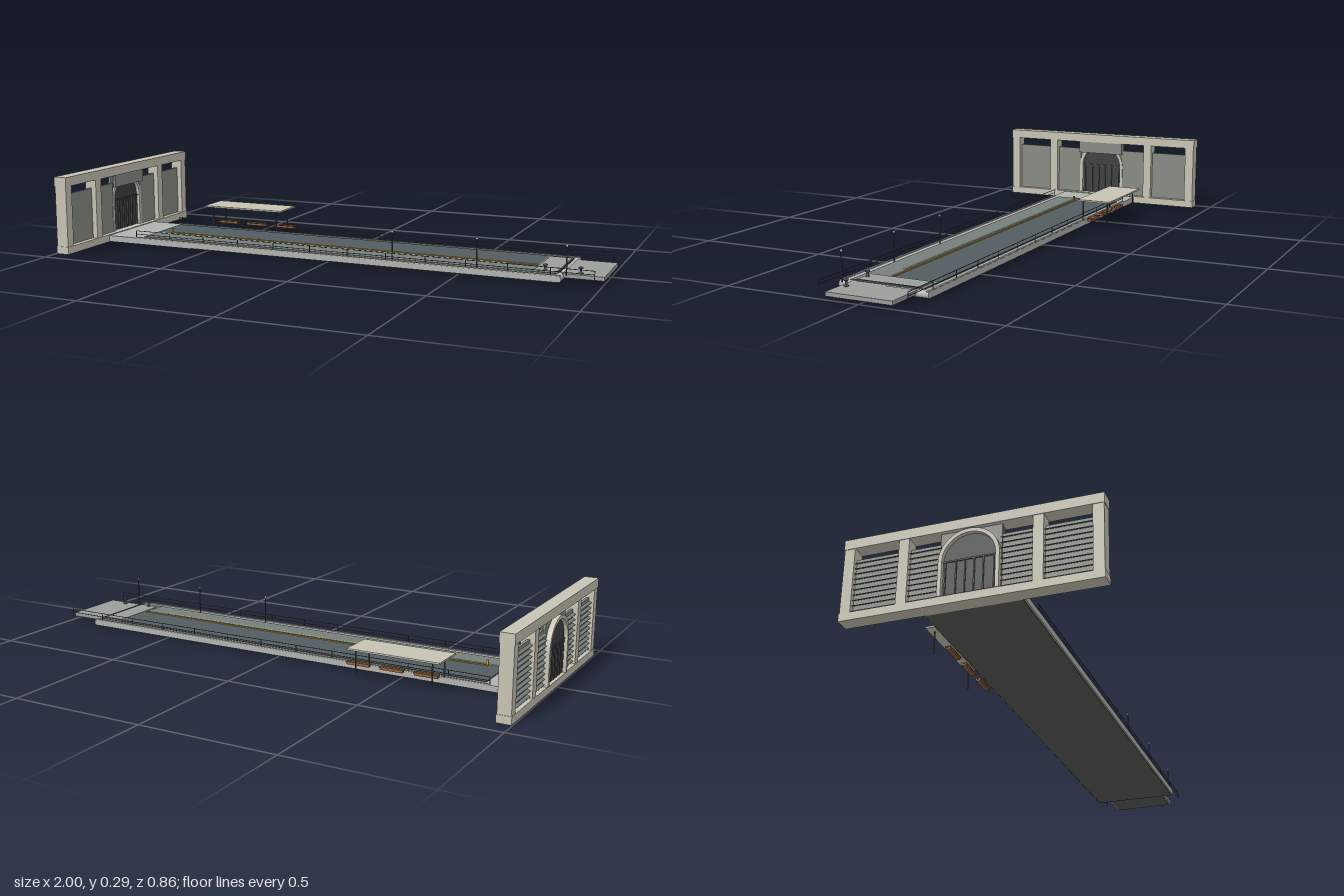
import * as THREE from 'three';

export function createModel() {
  const root = new THREE.Group();
  const mat = (color) => new THREE.MeshStandardMaterial({ color });
  const stone = mat(0xc8c4b4), concrete = mat(0xb2b4b0), pale = mat(0x9a9f9c), slate = mat(0x535c60);
  const grey = mat(0x777f7d), panel = mat(0x888c84), dark = mat(0x3c4140), steel = mat(0x4a4e50);
  const wood = mat(0x8f5f3c), yellow = mat(0xd0a020), under = mat(0x5a5957), white = mat(0xd8d8d0);

  const add = (name, geo, m, parent = root) => {
    const mesh = new THREE.Mesh(geo, m);
    mesh.name = name;
    parent.add(mesh);
    return mesh;
  };
  // Box given by its limits on each axis
  const box = (name, m, x0, x1, y0, y1, z0, z1, parent = root) => {
    const b = add(name, new THREE.BoxGeometry(x1 - x0, y1 - y0, z1 - z0), m, parent);
    b.position.set((x0 + x1) / 2, (y0 + y1) / 2, (z0 + z1) / 2);
    return b;
  };
  const pole = (name, m, x, z, y0, y1, r, parent = root) => {
    const p = add(name, new THREE.CylinderGeometry(r, r, y1 - y0, 10), m, parent);
    p.position.set(x, (y0 + y1) / 2, z);
    return p;
  };
  const group = (name) => {
    const g = new THREE.Group();
    g.name = name;
    root.add(g);
    return g;
  };

  // Station front: base, beam and posts
  const facade = group('facade');
  box('facadeBase', stone, -0.997, -0.945, 0, 0.028, -0.432, 0.432, facade);
  box('facadeBeam', stone, -0.997, -0.945, 0.257, 0.292, -0.432, 0.432, facade);
  for (const s of [-1, 1]) {
    for (const [a, b] of [[0.394, 0.43], [0.205, 0.24]])
      box('facadePost', stone, -0.995, -0.947, 0.028, 0.257, Math.min(s * a, s * b), Math.max(s * a, s * b), facade);
    // Bay panels with louvres on the outer side, open above
    for (const [a, b] of [[0.24, 0.394], [0.098, 0.205]]) {
      const z0 = Math.min(s * a, s * b), z1 = Math.max(s * a, s * b);
      box('bayPanel', panel, -0.977, -0.967, 0.028, 0.224, z0, z1, facade);
      for (let i = 0; i < 10; i++) {
        const slat = box('louvre', grey, -0.988, -0.976, 0.036 + i * 0.019, 0.039 + i * 0.019, z0, z1, facade);
        slat.rotation.z = 0.5;
      }
    }
  }
  box('lintelPanel', panel, -0.962, -0.952, 0.208, 0.257, -0.1, 0.1, facade);

  // Arched doorway
  const archShape = (r, top) => {
    const s = new THREE.Shape();
    s.moveTo(-r, 0.028);
    s.lineTo(r, 0.028);
    s.lineTo(r, 0.15);
    if (top) {
      s.lineTo(r, top);
      s.lineTo(-r, top);
    } else s.absarc(0, 0.15, r, 0, Math.PI, false);
    s.lineTo(-r, 0.028);
    return s;
  };
  const arch = (name, outer, hole, m, x, depth) => {
    if (hole) outer.holes.push(hole);
    const geo = new THREE.ExtrudeGeometry(outer, { depth, bevelEnabled: false, curveSegments: 24 });
    geo.rotateY(Math.PI / 2);
    add(name, geo, m, facade).position.x = x;
  };
  arch('archSurround', archShape(0.101), archShape(0.088), stone, -1, 0.035);
  arch('archSpandrel', archShape(0.102, 0.257), archShape(0.09), panel, -0.982, 0.01);
  arch('doorBacking', archShape(0.089), null, dark, -0.986, 0.008);
  box('transom', steel, -0.99, -0.972, 0.148, 0.153, -0.088, 0.088, facade);
  for (const z of [-0.08, -0.045, -0.015, 0.015, 0.045, 0.08])
    box('doorMullion', steel, -0.99, -0.972, 0.03, 0.15, z - 0.002, z + 0.002, facade);

  // Platform with a rounded far end
  const deck = group('platform');
  box('platformUnderside', under, -0.945, 0.85, 0, 0.004, -0.16, 0.16, deck);
  const side = new THREE.Shape();
  side.moveTo(-0.945, 0.003);
  side.lineTo(0.852, 0.003);
  side.quadraticCurveTo(0.862, 0.004, 0.862, 0.013);
  side.quadraticCurveTo(0.862, 0.024, 0.852, 0.025);
  side.lineTo(-0.945, 0.025);
  const slab = new THREE.ExtrudeGeometry(side, { depth: 0.33, bevelEnabled: false });
  add('platformSlab', slab, concrete, deck).position.z = -0.165;
  for (const s of [-1, 1]) box('platformKerb', concrete, -0.82, 0.858, 0.022, 0.028, s * 0.16 - 0.004, s * 0.16 + 0.004, deck);

  // Floor surfaces and guide lines
  box('darkFloor', slate, -0.8, 0.75, 0.024, 0.028, -0.14, 0.045, deck);
  box('sideFloor', grey, -0.8, 0.75, 0.024, 0.0275, 0.045, 0.134, deck);
  box('endFloor', grey, 0.75, 0.84, 0.024, 0.028, -0.14, 0.134, deck);
  box('endPlate', pale, 0.757, 0.835, 0.026, 0.03, -0.122, 0.112, deck);
  box('endNosing', steel, 0.836, 0.843, 0.025, 0.031, -0.122, 0.112, deck);
  box('edgeLine', white, -0.8, 0.65, 0.026, 0.029, 0.046, 0.053, deck);
  box('tactileLine', yellow, -0.74, 0.75, 0.026, 0.031, 0.025, 0.031, deck);
  box('lineMarker', yellow, -0.74, -0.732, 0.03, 0.048, 0.03, 0.036, deck);

  // Landing beyond the platform
  box('landing', pale, 0.855, 1, 0.012, 0.026, -0.122, 0.122, deck);
  box('landingUnderside', under, 0.855, 0.992, 0.01, 0.013, -0.115, 0.115, deck);

  // Railings on both sides
  for (const s of [-1, 1]) {
    const rail = group(s > 0 ? 'frontRailing' : 'backRailing');
    const z = s * 0.161;
    for (const y of [0.04, 0.053]) box('railBar', steel, -0.82, 0.975, y - 0.001, y + 0.001, z - 0.001, z + 0.001, rail);
    for (let i = 0; i <= 12; i++) pole('railPost', steel, -0.82 + i * 0.1495, z, 0.024, 0.054, 0.0014, rail);
  }

  // Shelter roof, legs and benches
  const shelter = group('shelter');
  box('shelterRoof', stone, -0.69, -0.345, 0.107, 0.113, -0.284, -0.149, shelter);
  for (const x of [-0.657, -0.371])
    for (const z of [-0.163, -0.265]) pole('shelterLeg', steel, x, z, 0.025, 0.108, 0.0028, shelter);
  for (const x of [-0.614, -0.484, -0.356]) {
    for (const z of [-0.221, -0.214, -0.207])
      box('benchSlat', wood, x - 0.045, x + 0.045, 0.041, 0.046, z - 0.003, z + 0.003, shelter);
    box('benchFrame', wood, x - 0.043, x + 0.043, 0.035, 0.041, -0.222, -0.206, shelter);
  }

  // Lamps
  for (const x of [0.245, 0.56, 0.875]) {
    const lamp = group('lamp');
    pole('lampPost', steel, x, 0.143, 0.024, 0.126, 0.0024, lamp);
    add('lampGlobe', new THREE.SphereGeometry(0.0042, 12, 8), white, lamp).position.set(x, 0.128, 0.143);
  }

  // Mooring bollards
  const profile = [[0, 0], [0.008, 0], [0.008, 0.003], [0.004, 0.006], [0.004, 0.017], [0.008, 0.019], [0.008, 0.023], [0, 0.025]]
    .map(([r, y]) => new THREE.Vector2(r, y));
  for (const x of [0.792, 0.915])
    add('bollard', new THREE.LatheGeometry(profile, 14), steel).position.set(x, 0.026, 0.1);

  return root;
}
